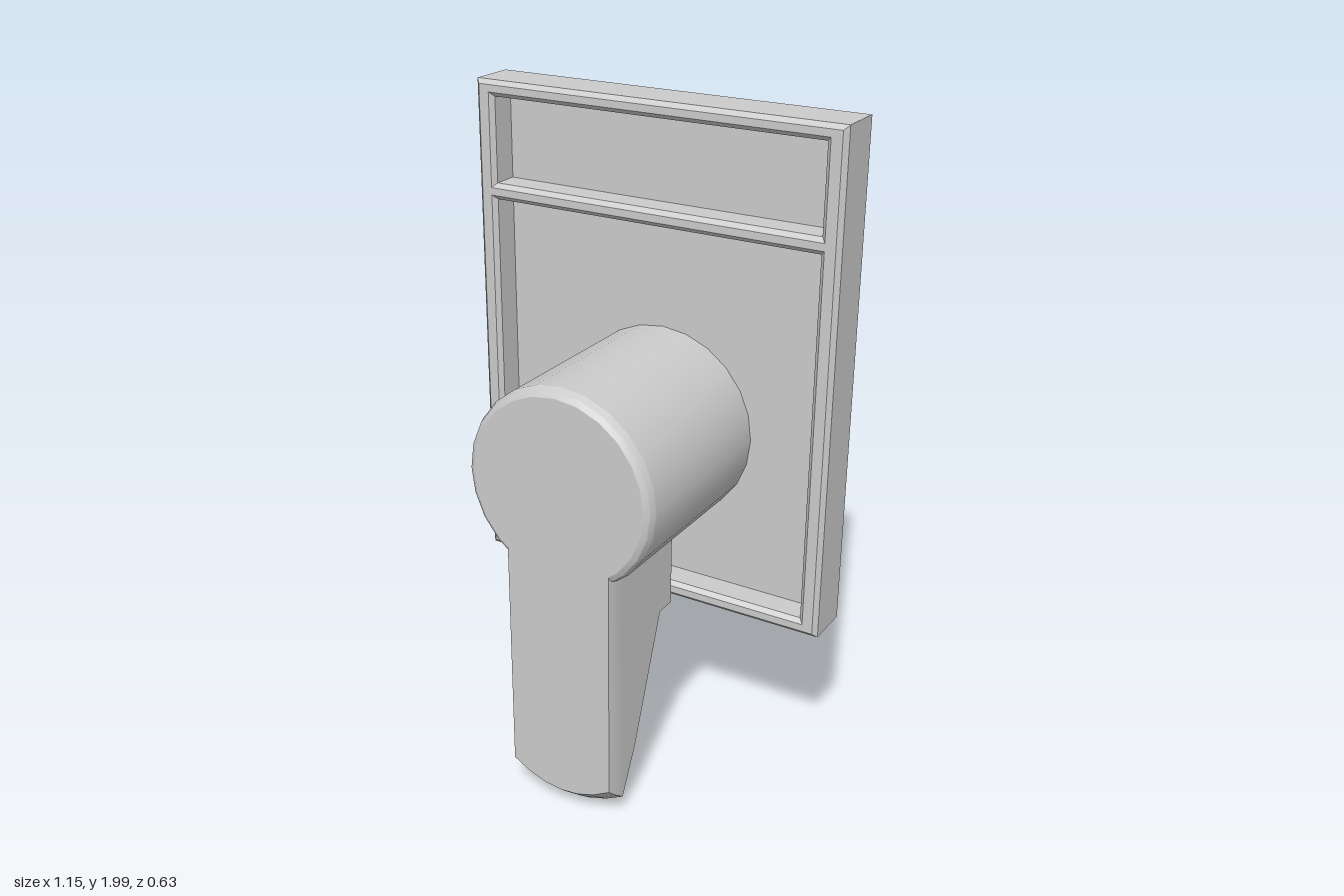
import * as THREE from 'three';
import { toCreasedNormals } from 'three/addons/utils/BufferGeometryUtils.js';

const material = new THREE.MeshStandardMaterial({ color: 0xcccccc });

function part(name, geometry) {
  const mesh = new THREE.Mesh(geometry, material);
  mesh.name = name;
  return mesh;
}

// Rectangle added to a Shape or Path
function rect(path, x, y0, y1) {
  path.moveTo(-x, y0);
  path.lineTo(x, y0);
  path.lineTo(x, y1);
  path.lineTo(-x, y1);
  path.closePath();
  return path;
}

// Bevelled frame with two recess openings; its rear bevel is buried in the back slab
function frameGeometry() {
  const bevel = 0.013;
  const shape = rect(new THREE.Shape(), 0.56, 0.523, 1.987);
  shape.holes.push(rect(new THREE.Path(), 0.528, 0.545, 1.668));
  shape.holes.push(rect(new THREE.Path(), 0.528, 1.69, 1.966));
  const geometry = new THREE.ExtrudeGeometry(shape, {
    depth: 0.092, bevelEnabled: true, bevelSize: bevel, bevelThickness: bevel, bevelSegments: 1,
  });
  return geometry.translate(0, 0, -0.27);
}

// Round knob turned about the z axis, with a softened front edge
function knobGeometry() {
  const profile = [[0.295, -0.28], [0.295, 0.285], [0.287, 0.305], [0.272, 0.315], [0, 0.315]]
    .map(([r, h]) => new THREE.Vector2(r, h));
  const geometry = new THREE.LatheGeometry(profile, 24).rotateX(Math.PI / 2);
  return toCreasedNormals(geometry, 0.3).translate(0, 1.04, 0);
}

// Lever: outlines with an arched lower end, stacked from front to back
function leverGeometry() {
  const steps = 6, top = 1.0, sag = 0.055;
  // half width, height of the lower corners, z
  const rows = [
    [0.165, 0.115, 0.315], [0.172, 0.09, 0.287], [0.172, 0.061, 0.25],
    [0.172, 0.205, 0.18], [0.172, 0.585, 0.043], [0.172, 0.585, -0.02],
  ];
  const n = steps + 3;
  const positions = [], index = [];
  for (const [w, y, z] of rows) {
    positions.push(w, top, z, -w, top, z);
    for (let i = 0; i <= steps; i++) {
      const t = (2 * i) / steps - 1;
      positions.push(w * t, y - sag * (1 - t * t), z);
    }
  }
  for (let r = 0; r < rows.length - 1; r++) {
    for (let j = 0; j < n; j++) {
      const a = r * n + j, b = r * n + ((j + 1) % n);
      index.push(a, a + n, b, b, a + n, b + n);
    }
  }
  const back = (rows.length - 1) * n;
  for (let j = 1; j < n - 1; j++) {
    index.push(0, j, j + 1, back, back + j + 1, back + j);
  }
  const geometry = new THREE.BufferGeometry();
  geometry.setAttribute('position', new THREE.Float32BufferAttribute(positions, 3));
  geometry.setIndex(index);
  return toCreasedNormals(geometry, 0.3);
}

export function createModel() {
  const group = new THREE.Group();
  group.name = 'leverSwitch';

  // Wall plate
  const plate = new THREE.Group();
  plate.name = 'wallPlate';
  const slab = new THREE.BoxGeometry(1.146, 1.49, 0.06).translate(0, 1.255, -0.285);
  plate.add(part('backSlab', slab), part('recessedFrame', frameGeometry()));

  // Turning handle
  const handle = new THREE.Group();
  handle.name = 'handle';
  handle.add(part('knob', knobGeometry()), part('lever', leverGeometry()));

  group.add(plate, handle);
  return group;
}
